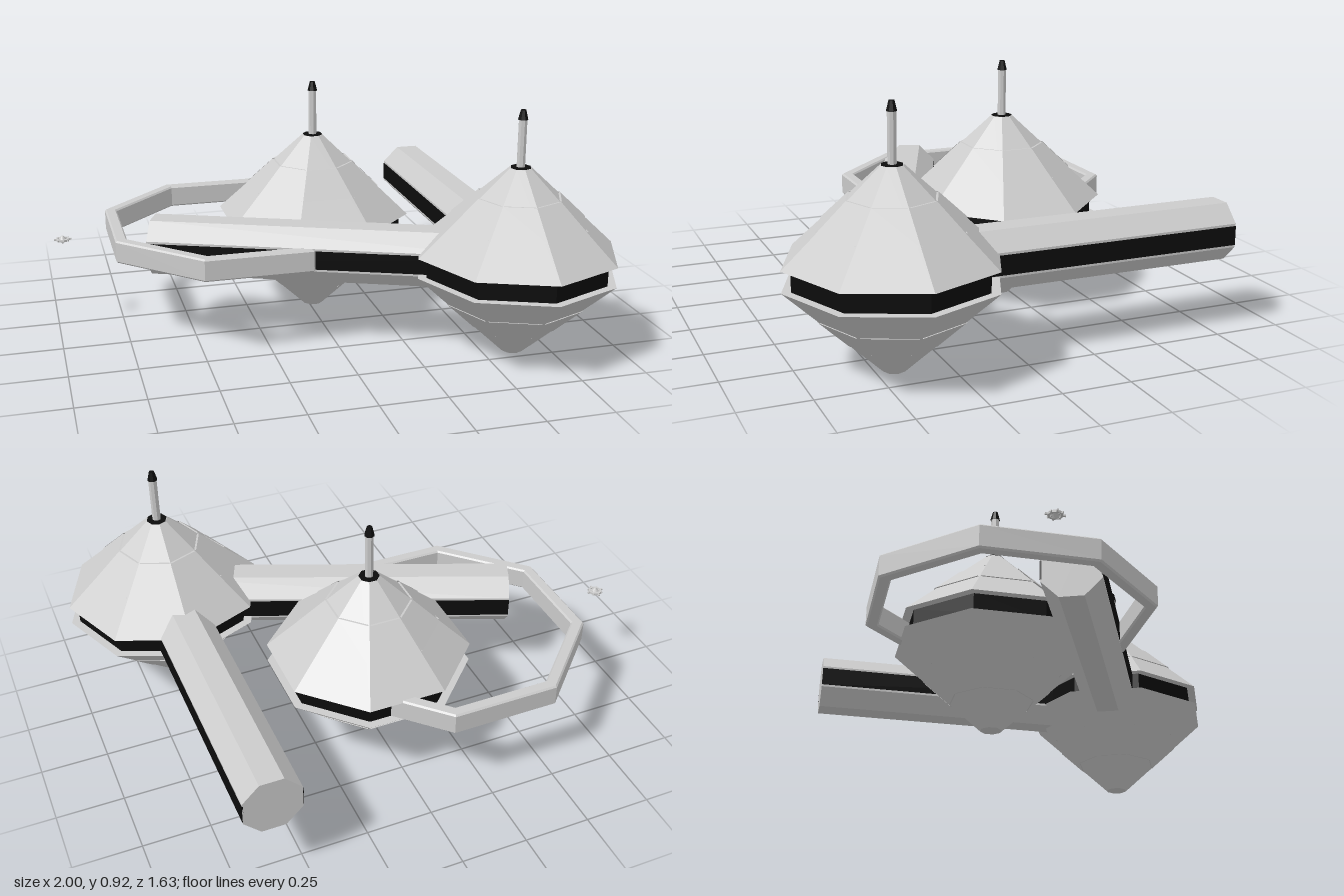
import * as THREE from 'three';

const grey = new THREE.MeshStandardMaterial({ color: 0xcccccc, flatShading: true, side: THREE.DoubleSide });
const black = new THREE.MeshStandardMaterial({ color: 0x0c0c0c, flatShading: true, side: THREE.DoubleSide });
const MID = 0.355; // height of the horizontal symmetry plane
const STEP = Math.PI / 4;

function add(parent, name, geometry, material, x = 0, y = 0, z = 0) {
  const mesh = new THREE.Mesh(geometry, material);
  mesh.name = name;
  mesh.position.set(x, y, z);
  parent.add(mesh);
  return mesh;
}

// Eight-sided solid from a profile of [radius, y] pairs
function octagon(profile, phi = 0) {
  return new THREE.LatheGeometry(profile.map(p => new THREE.Vector2(...p)), 8, phi);
}

// Double-cone hub: dark waist, raised hull panels and a mast
function makeHub(name, x, z, phi) {
  const hub = new THREE.Group();
  hub.name = name;
  hub.position.set(x, 0, z);
  add(hub, 'lowerHull', octagon([[0, 0], [0.04, 0], [0.378, 0.318], [0, 0.318]], phi), grey);
  add(hub, 'waistBand', octagon([[0.345, 0.316], [0.345, 0.394]], phi), black);
  add(hub, 'upperHull', octagon([[0, 0.392], [0.378, 0.392], [0.04, 0.705], [0, 0.705]], phi), grey);
  add(hub, 'topCap', octagon([[0.038, 0.705], [0.038, 0.708], [0, 0.708]], phi), black);
  add(hub, 'mast', new THREE.CylinderGeometry(0.016, 0.016, 0.18, 8), grey, 0, 0.79, 0);
  add(hub, 'mastTip', new THREE.CylinderGeometry(0.01, 0.019, 0.035, 8), black, 0, 0.898, 0);

  // Panels, one per facet, mirrored above and below the waist
  const half = STEP / 2 - 0.02;
  const fit = Math.cos(STEP / 2) / Math.cos(half);
  const outline = [[0.255, 0.15], [0.263, 0.15], [0.16, 0.246], [0.152, 0.246]];
  for (const s of [-1, 1]) {
    const pts = outline.map(([r, h]) => new THREE.Vector2(r * fit, MID + s * h));
    if (s < 0) pts.reverse();
    for (let i = 0; i < 8; i++) {
      const start = phi + i * STEP + STEP / 2 - half;
      add(hub, 'hullPanel', new THREE.LatheGeometry(pts, 1, start, half * 2), grey);
    }
  }
  return hub;
}

// Octagonal arm running from the origin of its group along -z
function makeArm(name, length, angle) {
  const arm = new THREE.Group();
  arm.name = name;
  arm.position.set(0.617, MID, 0.433);
  arm.rotation.y = angle;
  const R = 0.105 / Math.cos(Math.PI / 8);
  const tube = new THREE.CylinderGeometry(R, R, length, 8, 1, false, Math.PI / 8).rotateX(Math.PI / 2);
  add(arm, 'armTube', tube, grey, 0, 0, -length / 2);
  for (const s of [-1, 1]) {
    add(arm, 'armStripe', new THREE.BoxGeometry(0.006, 0.07, length), black, s * 0.104, 0, -length / 2);
  }
  return arm;
}

// Tiny hovering craft: bicone core, ring and eight pods
function makeProbe() {
  const probe = new THREE.Group();
  probe.name = 'probe';
  probe.position.set(-0.967, MID, -0.223);
  add(probe, 'core', octagon([[0, -0.015], [0.004, -0.015], [0.015, 0], [0.004, 0.015], [0, 0.015]]), grey);
  add(probe, 'rim', octagon([[0.019, -0.004], [0.026, -0.004], [0.026, 0.004], [0.019, 0.004], [0.019, -0.004]]), grey);
  for (let i = 0; i < 8; i++) {
    const reach = i % 2 ? 0.029 : 0.033;
    const spoke = new THREE.BoxGeometry(reach, 0.006, 0.006).translate(reach / 2, 0, 0);
    add(probe, 'spoke', spoke, grey).rotation.y = i * STEP;
  }
  return probe;
}

export function createModel() {
  const model = new THREE.Group();
  model.name = 'spaceStation';
  model.add(makeHub('rearHub', 0.02, -0.222, Math.PI / 8));
  model.add(makeHub('frontHub', 0.617, 0.433, 0));
  model.add(makeArm('rearArm', 1.253, 0));
  model.add(makeArm('sideArm', 1.357, Math.PI * 3 / 8));

  // Docking ring with bevelled edges, passing through the rear hub
  const k = 1 / Math.cos(Math.PI / 8);
  const section = [[0.44, -0.037], [0.446, -0.043], [0.479, -0.043], [0.485, -0.037],
    [0.485, 0.037], [0.479, 0.043], [0.446, 0.043], [0.44, 0.037], [0.44, -0.037]];
  add(model, 'dockingRing', octagon(section.map(([r, y]) => [r * k, y]), Math.PI / 8), grey, -0.3, MID, -0.225);

  model.add(makeProbe());
  return model;
}
